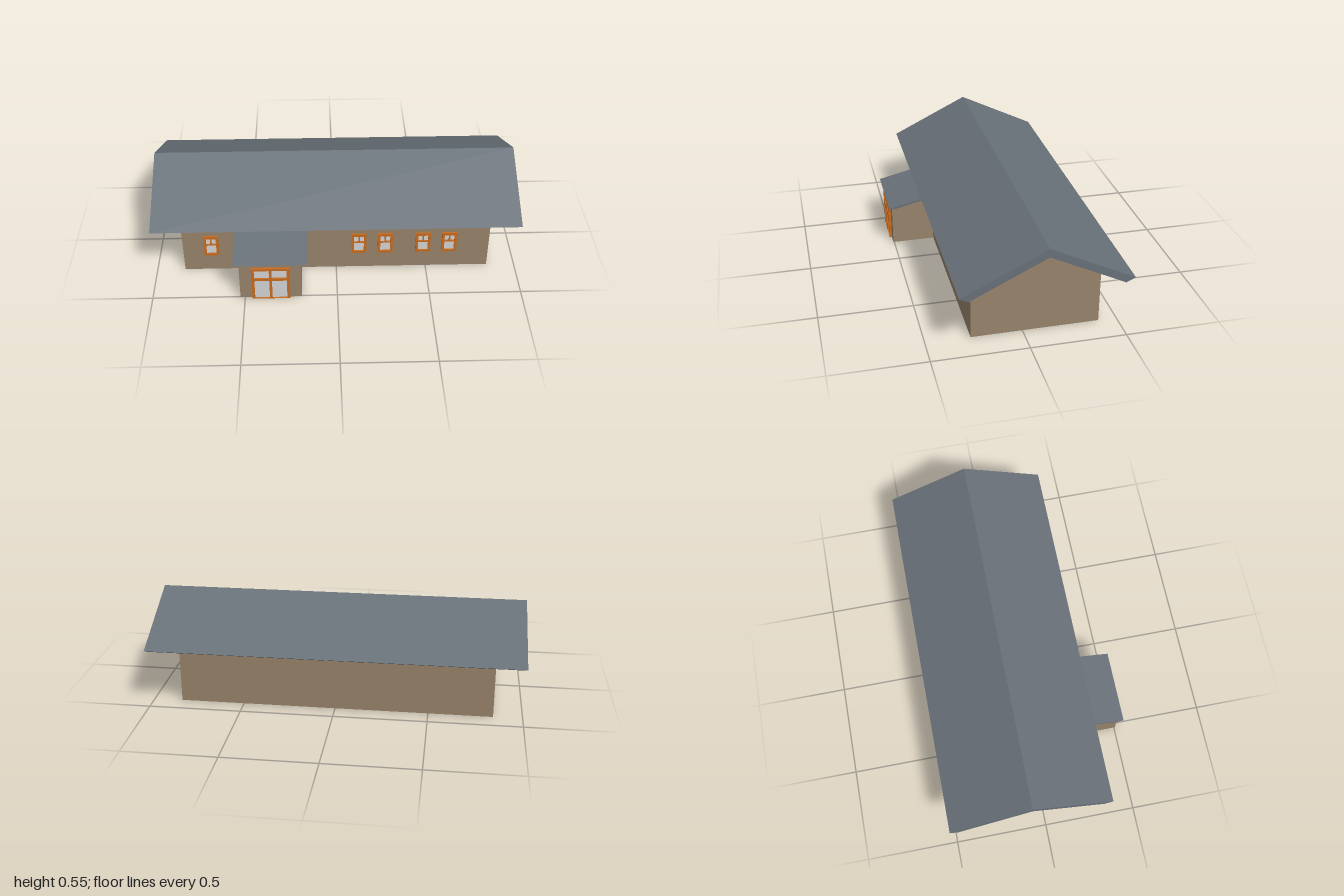
import * as THREE from 'three';

const mat = (name, color) => new THREE.MeshStandardMaterial({ name, color });

export function createModel() {
  const house = new THREE.Group();
  house.name = 'house';
  const wall = mat('tan wall', 0x97836a);
  const roof = mat('slate roof', 0x687078);
  const wood = mat('orange wood', 0xc86c20);
  const glass = mat('pale glass', 0xd4d4d4);

  // Extrude a [z, y] outline along x, from x0 to x1
  function prism(name, material, points, x0, x1, parent = house) {
    const shape = new THREE.Shape(points.map(([z, y]) => new THREE.Vector2(-z, y)));
    const geo = new THREE.ExtrudeGeometry(shape, { depth: x1 - x0, bevelEnabled: false });
    geo.rotateY(Math.PI / 2).translate(x0, 0, 0);
    const mesh = new THREE.Mesh(geo, material);
    mesh.name = name;
    parent.add(mesh);
  }

  // Rectangle outline used for frames and their openings
  const rect = (Type, [x0, y0, x1, y1]) => new Type([
    new THREE.Vector2(x0, y0), new THREE.Vector2(x1, y0),
    new THREE.Vector2(x1, y1), new THREE.Vector2(x0, y1),
  ]);

  // Wooden frame with openings and one glass plate behind them
  function glazing(name, x, y, z, outer, openings, depth) {
    const group = new THREE.Group();
    group.name = name;
    const shape = rect(THREE.Shape, outer);
    shape.holes = openings.map((o) => rect(THREE.Path, o));
    const frame = new THREE.Mesh(
      new THREE.ExtrudeGeometry(shape, { depth, bevelEnabled: false }), wood);
    frame.name = 'frame';
    const [x0, y0, x1, y1] = outer;
    const pane = new THREE.Mesh(
      new THREE.BoxGeometry(x1 - x0 - 0.01, y1 - y0 - 0.004, 0.004), glass);
    pane.name = 'glass';
    pane.position.set((x0 + x1) / 2, (y0 + y1) / 2, 0.002);
    group.add(frame, pane);
    group.position.set(x, y, z);
    house.add(group);
  }

  // Main body with gable ends
  prism('mainWalls', wall,
    [[0.268, 0], [0.268, 0.332], [-0.085, 0.505], [-0.403, 0.349], [-0.403, 0]], -0.845, 0.845);

  // Gabled roof slab
  prism('mainRoof', roof, [
    [0.355, 0.335], [-0.085, 0.55], [-0.525, 0.335],
    [-0.478, 0.312], [-0.085, 0.505], [0.31, 0.312],
  ], -1, 1);

  // Entrance porch with lean-to roof
  prism('porchWalls', wall,
    [[0.505, 0], [0.505, 0.237], [0.268, 0.29], [0.268, 0]], -0.525, -0.193);
  prism('porchRoof', roof,
    [[0.525, 0.241], [0.268, 0.302], [0.268, 0.288], [0.495, 0.235]], -0.555, -0.155);

  // Double door with transom lights
  glazing('frontDoor', -0.358, 0, 0.505, [-0.102, 0, 0.102, 0.211], [
    [-0.087, 0.001, -0.007, 0.127], [0.007, 0.001, 0.087, 0.127],
    [-0.087, 0.142, -0.007, 0.197], [0.007, 0.142, 0.087, 0.197],
  ], 0.013);

  // Front windows: two small upper panes above one larger pane
  for (const x of [-0.688, 0.125, 0.27, 0.479, 0.624]) {
    glazing('window', x, 0.107, 0.268, [-0.041, 0, 0.041, 0.131], [
      [-0.027, 0.014, 0.027, 0.07],
      [-0.027, 0.079, -0.004, 0.115], [0.004, 0.079, 0.027, 0.115],
    ], 0.01);
  }
  return house;
}
